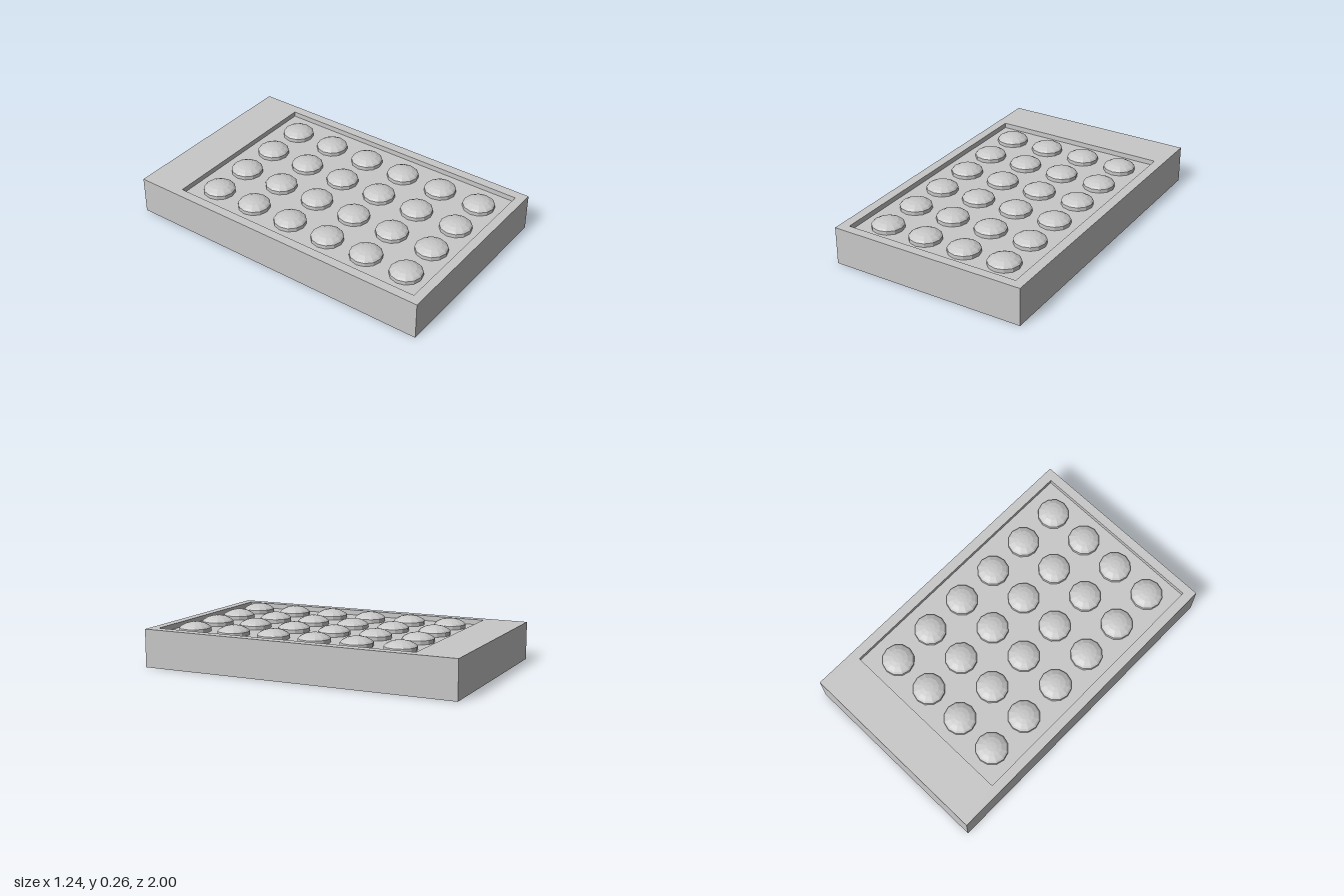
import * as THREE from 'three';

export function createModel() {
  const model = new THREE.Group();
  model.name = 'buttonPad';
  const grey = new THREE.MeshStandardMaterial({ color: 0xc8c8c8 });
  grey.name = 'light grey';

  const W = 0.618, L = 1, TOP = 0.235, FLOOR = 0.203;

  const add = (geometry, name, parent = model) => {
    const mesh = new THREE.Mesh(geometry, grey);
    mesh.name = name;
    parent.add(mesh);
    return mesh;
  };

  // Rectangle in plan, with y standing for z
  const rectangle = (path, x0, z0, x1, z1) => {
    path.moveTo(x0, z0);
    path.lineTo(x1, z0);
    path.lineTo(x1, z1);
    path.lineTo(x0, z1);
    path.closePath();
    return path;
  };

  // Solid body below the recess floor
  add(new THREE.BoxGeometry(2 * W, FLOOR, 2 * L).translate(0, FLOOR / 2, 0), 'base');

  // Raised rim, wider at the back
  const outline = rectangle(new THREE.Shape(), -W, -L, W, L);
  outline.holes.push(rectangle(new THREE.Path(), -0.56, -0.732, 0.557, 0.943));
  const rim = new THREE.ExtrudeGeometry(outline, { depth: TOP - FLOOR, bevelEnabled: false });
  rim.rotateX(Math.PI / 2).translate(0, TOP, 0);
  add(rim, 'rim');

  // Low-poly domed button with a short upright wall
  const profile = [[0.098, 0], [0.098, 0.023], [0.087, 0.034], [0.06, 0.048], [0.03, 0.055], [0, 0.057]]
    .map(([r, y]) => new THREE.Vector2(r, y));
  const dome = new THREE.LatheGeometry(profile, 12).toNonIndexed();
  dome.computeVertexNormals();

  // Six rows of four buttons
  const buttons = new THREE.Group();
  buttons.name = 'buttons';
  model.add(buttons);
  for (let row = 0; row < 6; row++) {
    for (let col = 0; col < 4; col++) {
      add(dome, `button${row + 1}_${col + 1}`, buttons)
        .position.set(-0.4 + col * 0.263, FLOOR, -0.571 + row * 0.272);
    }
  }
  return model;
}
